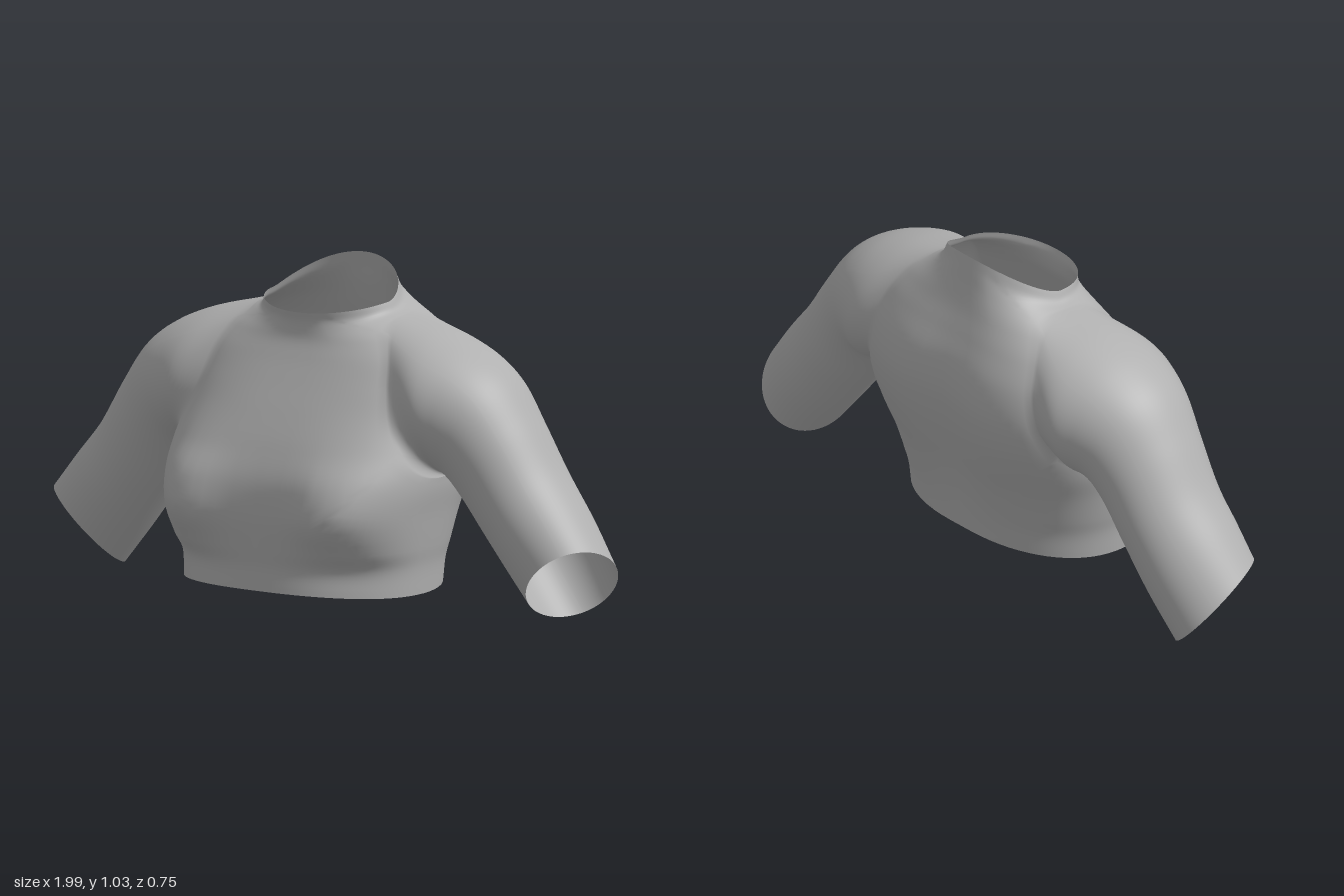
import * as THREE from 'three';
import { mergeVertices } from 'three/addons/utils/BufferGeometryUtils.js';

const COLS = 72, ROWS = 72, SLEEVE_ROWS = 48;
// Armhole, in grid cells of the torso: middle row, half height, half width
const MID = 43, HALF_H = 18, HALF_W = 9;

const bump = (d, s) => Math.exp(-(d * d) / (s * s));
const power = (t, e) => Math.sign(t) * Math.abs(t) ** (2 / e);

// Torso rings, hem to neckline: heights at side, front and back,
// half width, front z, back z, squareness of front and back
const TORSO = [
  [0.055, 0.068, 0.08, 0.405, 0.345, -0.282, 2.4, 2.3],
  [0.14, 0.14, 0.15, 0.412, 0.34, -0.289, 2.5, 2.3],
  [0.2, 0.2, 0.21, 0.424, 0.345, -0.298, 2.8, 2.4],
  [0.3, 0.3, 0.3, 0.442, 0.348, -0.32, 3, 2.5],
  [0.4, 0.4, 0.4, 0.46, 0.335, -0.351, 2.9, 2.7],
  [0.5, 0.5, 0.5, 0.458, 0.294, -0.374, 2.8, 3],
  [0.6, 0.6, 0.6, 0.44, 0.24, -0.381, 2.8, 3.2],
  [0.7, 0.69, 0.7, 0.42, 0.187, -0.362, 2.8, 3.2],
  [0.78, 0.76, 0.79, 0.39, 0.147, -0.323, 2.7, 3],
  [0.84, 0.81, 0.86, 0.335, 0.123, -0.292, 2.4, 2.6],
  [0.877, 0.845, 0.93, 0.265, 0.117, -0.268, 2.1, 2.2],
  [0.895, 0.87, 0.98, 0.228, 0.118, -0.256, 2, 2],
  [0.922, 0.895, 1.025, 0.213, 0.125, -0.245, 2, 2],
];

// Sleeve rings, cuff to shoulder:
// outer x, y, inner x, y, front z, back z, tilt of the opening
const SLEEVE = [
  [0.99, 0.23, 0.785, 0.008, 0.095, -0.213, 1],
  [0.905, 0.345, 0.695, 0.122, 0.1, -0.238, 0.5],
  [0.815, 0.46, 0.605, 0.24, 0.102, -0.25, 0],
  [0.725, 0.605, 0.525, 0.345, 0.113, -0.258, 0],
  [0.635, 0.728, 0.49, 0.39, 0.132, -0.278, 0],
  [0.54, 0.795, 0.475, 0.408, 0.15, -0.302, 0],
  [0.42, 0.843, 0.466, 0.415, 0.162, -0.325, 0],
];

// Point on the torso at angle a and height v, from 0 at the hem to 1 at the neckline
function torsoPoint(a, v) {
  const c = Math.cos(a), s = Math.sin(a);
  const curve = new THREE.CatmullRomCurve3(TORSO.map(([yS, yF, yB, w, zF, zB, eF, eB]) => {
    const front = s > 0, e = front ? eF : eB;
    const x = w * power(c, e);
    let z = (zF + zB) / 2 + (zF - zB) / 2 * power(s, e);
    const y = yS + ((front ? yF : yB) - yS) * Math.abs(s) ** 1.4;
    if (front) {
      // bust, with a soft crease below it
      const side = bump(Math.abs(x) - 0.3, 0.14) * s;
      z += side * (0.07 * bump(y - 0.32, y > 0.32 ? 0.15 : 0.11) - 0.015 * bump(y - 0.15, 0.04));
    } else {
      // spine groove
      z += 0.025 * bump(x, 0.1) * bump(y - 0.5, 0.3);
    }
    return new THREE.Vector3(x, y, z);
  }));
  return curve.getPoint(v);
}

// Point on the torso grid, p across and q up from the armhole centre in armhole radii;
// the grid is bent so that the square p, q = 1 becomes a round armhole
function gridPoint(p, q, sideAngle) {
  const m = Math.max(Math.abs(p), Math.abs(q)), r = Math.hypot(p, q) || 1;
  const f = THREE.MathUtils.lerp(m / r, 1, THREE.MathUtils.clamp((m - 1) / 0.55, 0, 1));
  return torsoPoint(
    sideAngle + p * f * HALF_W / COLS * Math.PI * 2,
    (MID + q * f * HALF_H) / ROWS);
}

// Column distance from the nearer armhole centre
const fromSide = j => (j + COLS / 4) % (COLS / 2) - COLS / 4;

// Edge of the armhole as a loop of p, q, from the top towards the front
function armholeLoop() {
  const loop = [], W = HALF_W, H = HALF_H;
  for (let k = 0; k < W; k++) loop.push([k, H]);
  for (let k = H; k > -H; k--) loop.push([W, k]);
  for (let k = W; k > -W; k--) loop.push([k, -H]);
  for (let k = -H; k < H; k++) loop.push([-W, k]);
  for (let k = -W; k < 0; k++) loop.push([k, H]);
  return loop.map(([p, q]) => [p / W, q / H]);
}

// Lines of points running from the cuff into the armhole
function sleeveLines() {
  return armholeLoop().map(([p, q]) => {
    const t = Math.atan2(p, q), c = Math.cos(t), s = Math.sin(t);
    const pts = SLEEVE.map(([ox, oy, ix, iy, zF, zB, tilt]) => new THREE.Vector3(
      (ox + ix) / 2 + (ox - ix) / 2 * c - 0.04 * tilt * s,
      (oy + iy) / 2 + (oy - iy) / 2 * c + 0.045 * tilt * s,
      (zF + zB) / 2 + (zF - zB) / 2 * s + 0.02 * tilt * c));
    return new THREE.CatmullRomCurve3([...pts, gridPoint(p, q, 0)]);
  });
}

export function createModel() {
  const cloth = new THREE.MeshStandardMaterial({ color: 0xb0b0b0, side: THREE.DoubleSide });
  cloth.name = 'grey cloth';
  const model = new THREE.Group();
  model.name = 'croppedTop';

  // All parts share one set of vertices, so the shading runs smoothly over the seams
  const pos = [], idx = [], parts = [];
  function addPart(name, rows, cols, point, keep, flip) {
    const base = pos.length / 3, start = idx.length;
    for (let i = 0; i <= rows; i++) {
      for (let j = 0; j < cols; j++) pos.push(...point(i, j));
    }
    for (let i = 0; i < rows; i++) {
      for (let j = 0; j < cols; j++) {
        if (!keep(i, j)) continue;
        const a = base + i * cols + j, b = base + i * cols + (j + 1) % cols;
        const quad = [a, a + cols, b, b, a + cols, b + cols];
        idx.push(...(flip ? quad.reverse() : quad));
      }
    }
    parts.push({ name, start, end: idx.length });
  }

  // Body with two armholes
  addPart('torso', ROWS, COLS, (i, j) => {
    const sideAngle = j < COLS / 4 || j >= COLS * 3 / 4 ? 0 : Math.PI;
    return gridPoint(fromSide(j) / HALF_W, (i - MID) / HALF_H, sideAngle).toArray();
  }, (i, j) => {
    const k = fromSide(j);
    return i < MID - HALF_H || i >= MID + HALF_H || k < -HALF_W || k >= HALF_W;
  }, false);

  // Sleeves, mirrored
  const lines = sleeveLines();
  for (const side of [1, -1]) {
    addPart(side > 0 ? 'leftSleeve' : 'rightSleeve', SLEEVE_ROWS, lines.length, (i, j) => {
      const v = lines[j].getPoint(i / SLEEVE_ROWS);
      return [v.x * side, v.y, v.z];
    }, () => true, side < 0);
  }

  let skin = new THREE.BufferGeometry();
  skin.setAttribute('position', new THREE.Float32BufferAttribute(pos, 3));
  skin.setIndex(idx);
  skin = mergeVertices(skin, 1e-4);
  skin.computeVertexNormals();

  for (const { name, start, end } of parts) {
    const g = new THREE.BufferGeometry();
    g.setAttribute('position', skin.attributes.position);
    g.setAttribute('normal', skin.attributes.normal);
    g.setIndex(Array.from(skin.index.array.slice(start, end)));
    const mesh = new THREE.Mesh(g, cloth);
    mesh.name = name;
    model.add(mesh);
  }
  return model;
}
